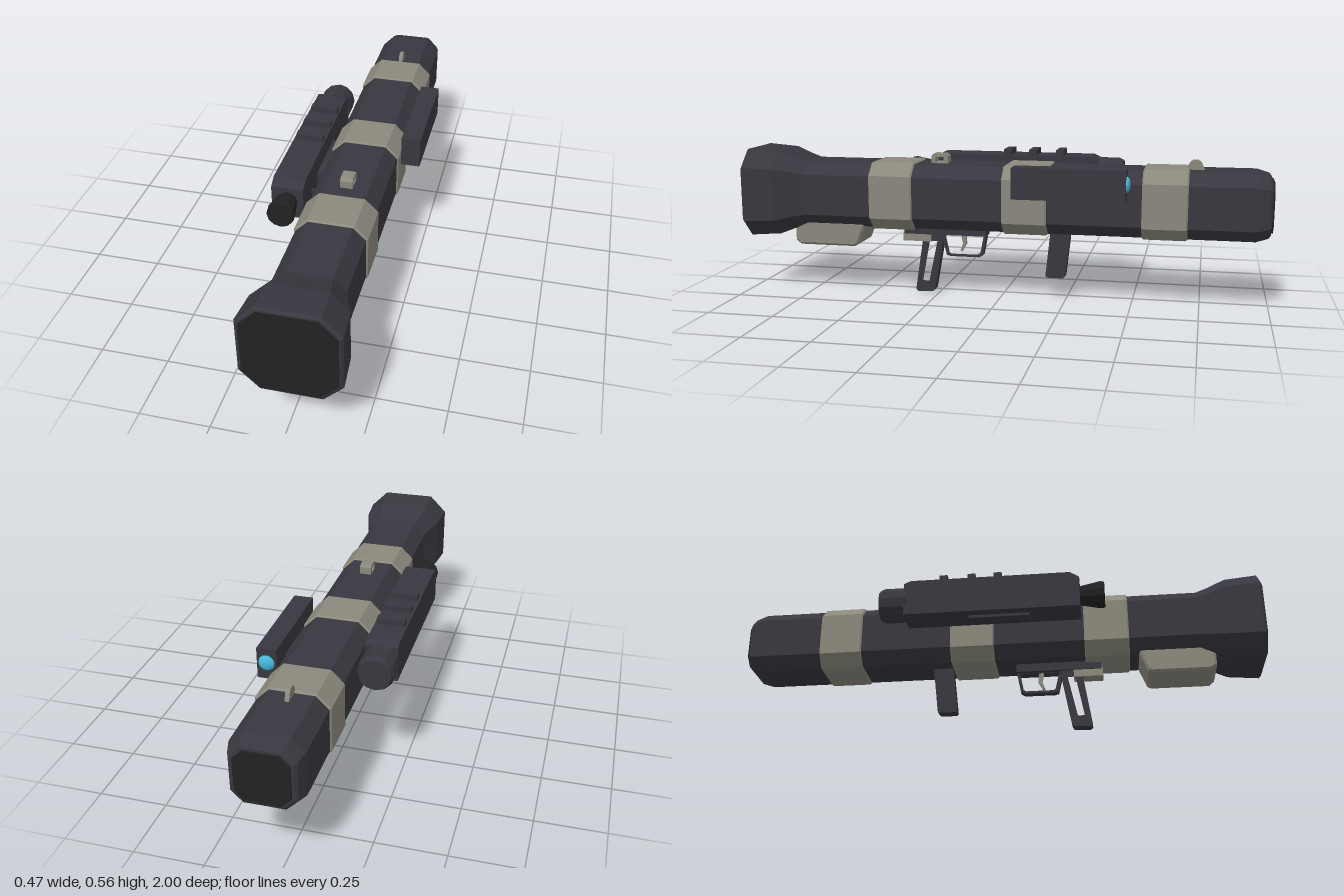
import * as THREE from 'three';

const mat = (name, color, side = THREE.FrontSide) => {
  const m = new THREE.MeshStandardMaterial({ color, flatShading: true, side });
  m.name = name;
  return m;
};

export function createModel() {
  const dark = mat('gunmetal', 0x38373f);
  const khaki = mat('khaki grey', 0x8b887c);
  const black = mat('black', 0x222222);
  const cyan = mat('cyan lens', 0x48b8dc);
  const root = new THREE.Group();
  root.name = 'shoulderLauncher';
  const CX = 0.034, CY = 0.387; // tube axis

  const add = (name, geo, material, x = 0, y = 0, z = 0) => {
    const m = new THREE.Mesh(geo, material);
    m.name = name;
    m.position.set(x, y, z);
    root.add(m);
    return m;
  };

  // Box given by its extents
  const box = (name, material, x0, x1, y0, y1, z0, z1) =>
    add(name, new THREE.BoxGeometry(x1 - x0, y1 - y0, z1 - z0), material,
      (x0 + x1) / 2, (y0 + y1) / 2, (z0 + z1) / 2);

  // Side profile of [z, y] points, extruded across x
  const side = (name, material, pts, x, width, hole, bevel = 0) => {
    const toV = (p) => new THREE.Vector2(p[0], p[1]);
    const shape = new THREE.Shape(pts.map(toV));
    if (hole) shape.holes.push(new THREE.Path(hole.map(toV)));
    const depth = width - 2 * bevel;
    const geo = new THREE.ExtrudeGeometry(shape, {
      depth, bevelEnabled: bevel > 0, bevelSize: bevel, bevelThickness: bevel,
      bevelOffset: -bevel, bevelSegments: 1,
    });
    geo.translate(0, 0, -depth / 2);
    geo.rotateY(-Math.PI / 2);
    return add(name, geo, material, x);
  };

  // Chamfered square tube through sections of [z, half width, chamfer]
  const loft = (name, material, sections) => {
    const rings = sections.map(([z, h, c]) => {
      const k = h - c;
      return [[-k, -h], [k, -h], [h, -k], [h, k], [k, h], [-k, h], [-h, k], [-h, -k]]
        .map(([x, y]) => [x, y, z]);
    });
    const pos = [];
    const tri = (a, b, c) => pos.push(...a, ...b, ...c);
    for (let s = 0; s < rings.length - 1; s++) {
      const a = rings[s], b = rings[s + 1];
      for (let i = 0; i < 8; i++) {
        const j = (i + 1) % 8;
        tri(a[i], a[j], b[j]);
        tri(a[i], b[j], b[i]);
      }
    }
    const first = rings[0], last = rings[rings.length - 1];
    for (let i = 1; i < 7; i++) {
      tri(last[0], last[i], last[i + 1]);
      tri(first[0], first[i + 1], first[i]);
    }
    const geo = new THREE.BufferGeometry();
    geo.setAttribute('position', new THREE.Float32BufferAttribute(pos, 3));
    geo.computeVertexNormals();
    return add(name, geo, material, CX, CY, 0);
  };

  // Main tube with flared front and tapered rear
  loft('launchTube', dark, [
    [-0.993, 0.1, 0.036], [-0.985, 0.11, 0.04], [-0.94, 0.123, 0.045], [0.76, 0.123, 0.045],
    [0.8, 0.135, 0.05], [0.87, 0.161, 0.062], [0.99, 0.17, 0.067], [0.998, 0.162, 0.064],
  ]);
  loft('frontCap', black, [[0.99, 0.157, 0.061], [1.0, 0.157, 0.061]]);
  loft('rearCap', black, [[-1.0, 0.092, 0.033], [-0.98, 0.092, 0.033]]);

  // Reinforcing bands
  for (const [z0, z1] of [[-0.7, -0.535], [-0.187, -0.018], [0.327, 0.496]]) {
    loft('band', khaki, [
      [z0, 0.124, 0.045], [z0 + 0.006, 0.129, 0.047], [z1 - 0.006, 0.129, 0.047], [z1, 0.124, 0.045],
    ]);
  }

  // Front underside housing
  side('batteryHousing', khaki,
    [[0.815, 0.3], [0.815, 0.2], [0.795, 0.183], [0.575, 0.183], [0.56, 0.19], [0.53, 0.265], [0.53, 0.3]],
    CX, 0.171, null, 0.008);

  // Trigger unit and pistol grip
  box('receiver', dark, 0.004, 0.064, 0.232, 0.275, 0.06, 0.385);
  box('gripMount', khaki, 0.008, 0.06, 0.203, 0.235, 0.28, 0.392);
  side('pistolGrip', dark,
    [[0.345, 0.008], [0.335, 0], [0.275, 0.003], [0.268, 0.012], [0.228, 0.235], [0.31, 0.235]],
    CX, 0.041, [[0.316, 0.045], [0.29, 0.045], [0.256, 0.205], [0.286, 0.205]]);
  side('triggerGuard', dark,
    [[0.24, 0.235], [0.22, 0.15], [0.205, 0.146], [0.09, 0.146], [0.075, 0.155], [0.06, 0.235]],
    CX, 0.028, [[0.224, 0.23], [0.208, 0.16], [0.2, 0.156], [0.095, 0.156], [0.086, 0.162], [0.073, 0.23]]);
  side('trigger', khaki,
    [[0.165, 0.235], [0.157, 0.195], [0.168, 0.168], [0.16, 0.165], [0.143, 0.195], [0.145, 0.235]], CX, 0.014);

  // Forward-leaning second grip
  side('supportGrip', dark,
    [[-0.17, 0.086], [-0.176, 0.08], [-0.238, 0.08], [-0.246, 0.088], [-0.266, 0.275], [-0.19, 0.275]],
    CX, 0.041);

  // Sighting scope on the right side
  const SX = -0.17, SY = 0.455;
  side('scopeBody', dark,
    [[0.32, 0.385], [0.32, 0.505], [0.285, 0.527], [-0.32, 0.527], [-0.345, 0.515], [-0.345, 0.385]], SX, 0.117);
  for (const z of [0.012, -0.088, -0.195]) {
    box('scopeRidge', dark, -0.22, -0.118, 0.52, 0.549, z - 0.015, z + 0.015);
  }
  box('scopeBasePlate', dark, -0.193, -0.136, 0.374, 0.39, -0.1, 0.13);
  box('scopeMount', dark, -0.125, -0.08, 0.4, 0.46, -0.1, 0.135);
  const strut = box('scopeStrut', dark, -0.125, -0.07, 0.425, 0.437, 0.212, 0.224);
  strut.rotation.y = -0.7;

  const barrel = (name, material, rFront, rBack, z0, z1) => {
    const geo = new THREE.CylinderGeometry(rFront, rBack, z1 - z0, 12);
    geo.rotateX(Math.PI / 2);
    return add(name, geo, material, SX, SY, (z0 + z1) / 2);
  };
  barrel('scopeObjective', dark, 0.066, 0.066, -0.425, -0.335);
  barrel('scopeObjectiveRim', dark, 0.066, 0.058, -0.442, -0.425);
  barrel('scopeEyepiece', black, 0.051, 0.036, 0.32, 0.395);
  barrel('scopeEyepieceRim', black, 0.049, 0.051, 0.395, 0.412);

  // Laser unit on the left side
  box('laserHousing', dark, 0.163, 0.235, 0.41, 0.525, -0.483, -0.07);
  box('laserMount', dark, 0.14, 0.17, 0.42, 0.46, -0.4, -0.1);
  const lens = new THREE.SphereGeometry(0.03, 12, 4, 0, Math.PI * 2, 0, Math.PI / 2);
  lens.scale(1, 0.5, 1);
  lens.rotateX(-Math.PI / 2);
  add('laserLens', lens, cyan, 0.2, 0.472, -0.482);

  // Iron sights
  side('frontSight', khaki,
    [[0.275, 0.505], [0.275, 0.538], [0.265, 0.547], [0.22, 0.547], [0.21, 0.538], [0.21, 0.505]],
    CX, 0.045, [[0.258, 0.515], [0.258, 0.534], [0.227, 0.534], [0.227, 0.515]]);
  side('rearSight', khaki,
    [[-0.682, 0.505], [-0.7, 0.538], [-0.71, 0.546], [-0.73, 0.546], [-0.74, 0.538], [-0.756, 0.505]],
    CX, 0.015);

  return root;
}
